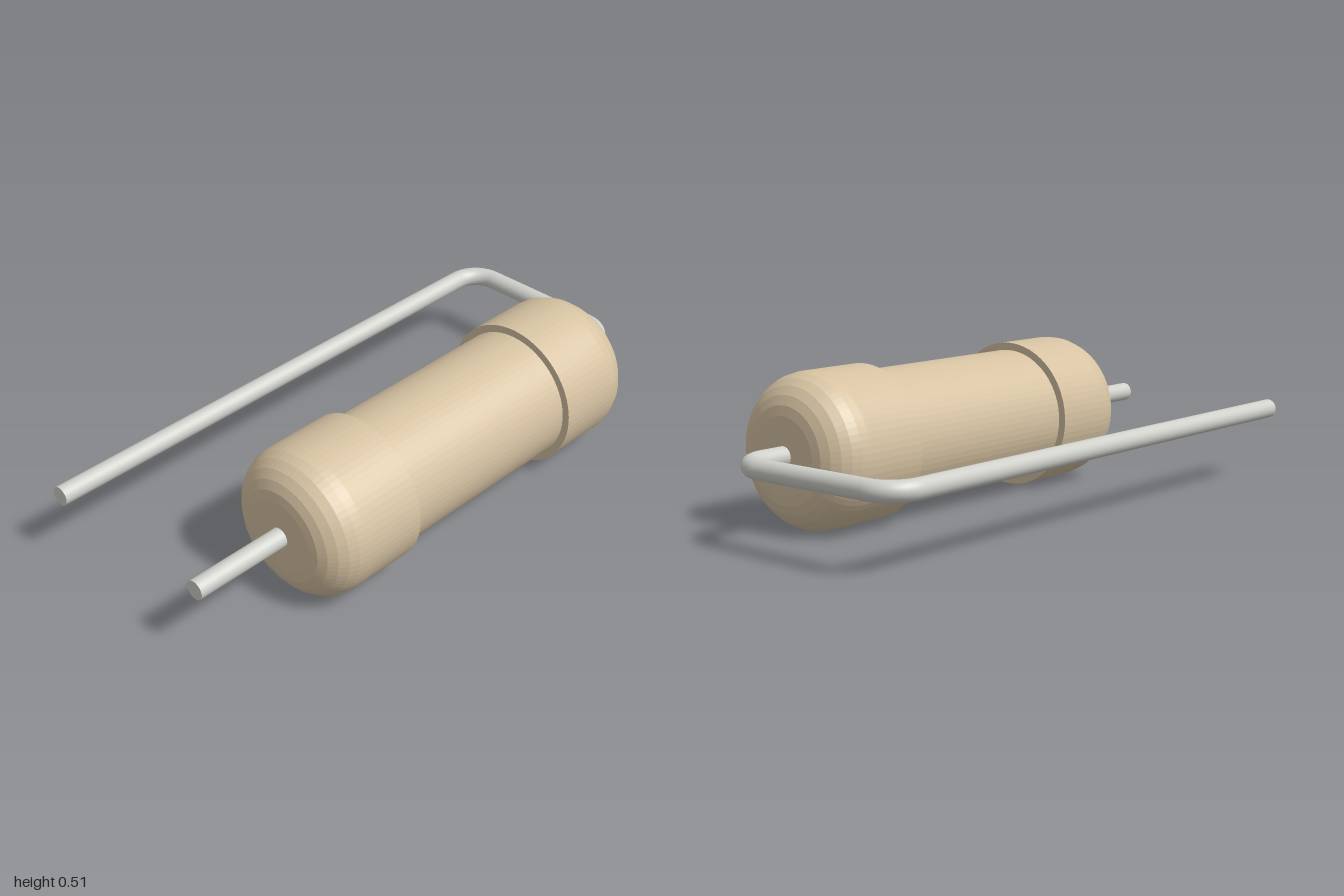
import * as THREE from 'three';

const AXIS_X = 0.211, AXIS_Y = 0.256; // body axis
const WIRE_R = 0.033, BEND = 0.1;
const RETURN_X = -0.434, BACK_Z = -0.967;

export function createModel() {
  const model = new THREE.Group();
  const ceramic = new THREE.MeshStandardMaterial({ color: 0xd6c2a2, flatShading: true });
  const metal = new THREE.MeshStandardMaterial({ color: 0xcfd0ca });

  const add = (name, geometry, material, x, z) => {
    const mesh = new THREE.Mesh(geometry, material);
    mesh.name = name;
    mesh.position.set(x, AXIS_Y, z);
    model.add(mesh);
  };

  // Body: narrow barrel between two rounded end caps, turned as one profile
  const capR = 0.254, barrelR = 0.228, fillet = 0.128;
  const back = -0.782, front = 0.658, capLength = 0.357, steps = 6;
  const capProfile = (end, dir) => {
    const pts = [new THREE.Vector2(0, end)];
    for (let i = 0; i <= steps; i++) {
      const a = (i / steps) * Math.PI / 2;
      pts.push(new THREE.Vector2(
        capR - fillet + fillet * Math.sin(a),
        end + dir * fillet * (1 - Math.cos(a))));
    }
    const inner = end + dir * capLength;
    pts.push(new THREE.Vector2(capR, inner), new THREE.Vector2(barrelR, inner));
    return pts;
  };
  const profile = [...capProfile(back, 1), ...capProfile(front, -1).reverse()];
  add('body', new THREE.LatheGeometry(profile, 72).rotateX(Math.PI / 2), ceramic, AXIS_X, 0);

  // Straight lead sections
  const rod = (length) => new THREE.CylinderGeometry(WIRE_R, WIRE_R, length, 24);
  const rodZ = (name, x, z0, z1) =>
    add(name, rod(z1 - z0).rotateX(Math.PI / 2), metal, x, (z0 + z1) / 2);
  const bendZ = BACK_Z + BEND;
  rodZ('frontLead', AXIS_X, front - 0.02, 1);
  rodZ('backLead', AXIS_X, bendZ, back + 0.02);
  rodZ('returnLead', RETURN_X, bendZ, 1);
  const crossLength = AXIS_X - RETURN_X - 2 * BEND;
  add('crossLead', rod(crossLength).rotateZ(Math.PI / 2), metal, (AXIS_X + RETURN_X) / 2, BACK_Z);

  // Quarter-round bends joining the sections
  const elbow = (turn) => new THREE.TorusGeometry(BEND, WIRE_R, 24, 10, Math.PI / 2)
    .rotateZ(turn).rotateX(-Math.PI / 2);
  add('leftBend', elbow(0), metal, AXIS_X - BEND, bendZ);
  add('rightBend', elbow(Math.PI / 2), metal, RETURN_X + BEND, bendZ);

  return model;
}
